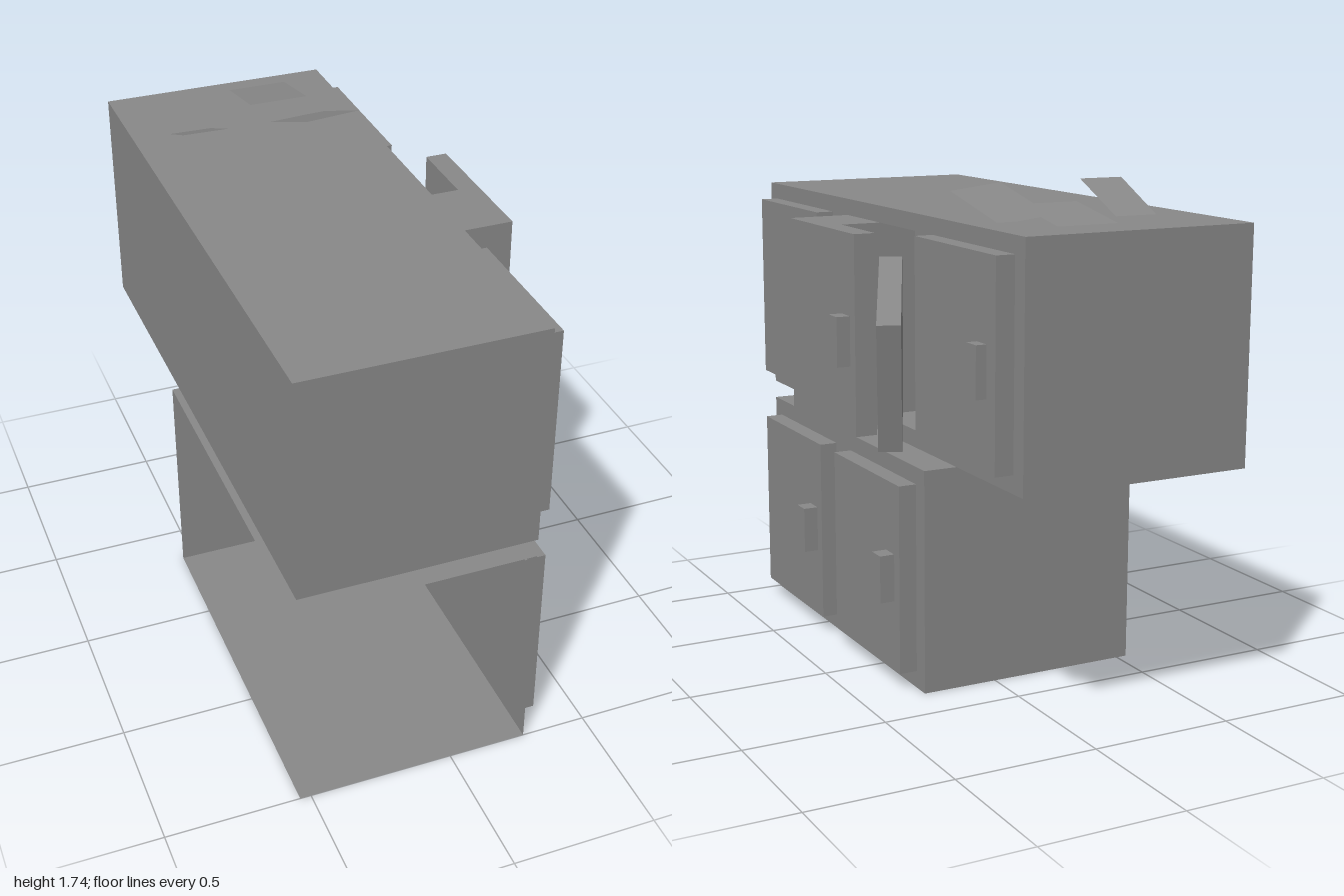
import * as THREE from 'three';

const solid = new THREE.MeshStandardMaterial({ color: 0x888888, flatShading: true });
const thin = new THREE.MeshStandardMaterial({ color: 0x888888, flatShading: true, side: THREE.DoubleSide });

export function createModel() {
  const root = new THREE.Group();

  const add = (name, geometry, material = solid, parent = root) => {
    const mesh = new THREE.Mesh(geometry, material);
    mesh.name = name;
    parent.add(mesh);
    return mesh;
  };

  // Box given by its extents on each axis
  const block = (name, [x0, x1], [y0, y1], [z0, z1]) => {
    const mesh = add(name, new THREE.BoxGeometry(x1 - x0, y1 - y0, z1 - z0));
    mesh.position.set((x0 + x1) / 2, (y0 + y1) / 2, (z0 + z1) / 2);
  };

  // Thin four-cornered sheet
  const sheet = (name, corners, parent) => {
    const g = new THREE.BufferGeometry();
    g.setAttribute('position', new THREE.Float32BufferAttribute(corners.flat(), 3));
    g.setIndex([0, 1, 2, 0, 2, 3]);
    g.computeVertexNormals();
    add(name, g, thin, parent);
  };

  // Sheets facing along each axis
  const sheetX = (n, x, [a, b], [c, d], p) => sheet(n, [[x, a, d], [x, a, c], [x, b, c], [x, b, d]], p);
  const sheetY = (n, y, [a, b], [c, d], p) => sheet(n, [[a, y, d], [b, y, d], [b, y, c], [a, y, c]], p);
  const sheetZ = (n, z, [a, b], [c, d], p) => sheet(n, [[a, c, z], [b, c, z], [b, d, z], [a, d, z]], p);

  const X = [-0.538, 0.273];
  const doorY = [0.911, 1.578], gapZ = [-0.27, 0];

  // Upper cabinet: closed shell with an opening in its door side
  const upper = new THREE.Group();
  upper.name = 'upperCabinet';
  root.add(upper);
  const UY = [0.852, 1.635], UZ = [-1, 1];
  sheetY('upperTop', UY[1], X, UZ, upper);
  sheetY('upperBottom', UY[0], X, UZ, upper);
  sheetX('upperBack', X[0], UY, UZ, upper);
  for (const z of UZ) sheetZ('upperEnd', z, X, UY, upper);
  sheetX('faceAbove', X[1], [doorY[1], UY[1]], UZ, upper);
  sheetX('faceBelow', X[1], [UY[0], doorY[0]], UZ, upper);
  sheetX('faceFar', X[1], doorY, [UZ[0], gapZ[0]], upper);
  sheetX('faceNear', X[1], doorY, [gapZ[1], UZ[1]], upper);

  // Compartment behind the opening
  const PX = [-0.45, X[1]];
  for (const y of doorY) sheetY('compartmentShelf', y, PX, gapZ, upper);
  for (const z of gapZ) sheetZ('compartmentSide', z, PX, doorY, upper);
  sheetX('compartmentBack', PX[0], doorY, gapZ, upper);

  // Lower cabinet: open at the back and at one end
  const lower = new THREE.Group();
  lower.name = 'lowerCabinet';
  root.add(lower);
  const LY = [0, 0.785], LZ = [-0.333, 1];
  sheetY('lowerTop', LY[1], X, LZ, lower);
  sheetY('lowerFloor', LY[0], X, LZ, lower);
  sheetX('lowerFace', X[1], LY, LZ, lower);
  sheetZ('lowerEnd', LZ[0], X, LY, lower);

  // Closed doors with handles: door y and z, handle y and z, handle reach
  const lowDoorY = [0.06, 0.725], handleY = [1.14, 1.307], lowHandleY = [0.31, 0.477];
  const doors = [
    [doorY, [0.4, 0.94], handleY, [0.44, 0.505], 0.39],
    [doorY, [-0.94, -0.4], handleY, [-0.885, -0.825], 0.373],
    [lowDoorY, [0.4, 0.94], lowHandleY, [0.44, 0.505], 0.39],
    [lowDoorY, [-0.27, 0.27], lowHandleY, [-0.23, -0.165], 0.39],
  ];
  for (const [dy, dz, hy, hz, reach] of doors) {
    block('door', [0.264, 0.337], dy, dz);
    block('doorHandle', [0.33, reach], hy, hz);
  }

  // Pulled-out middle front, with a recessed housing behind one half
  block('pulledFront', [0.415, 0.49], doorY, [-0.27, 0.27]);
  block('pulledHandle', [0.485, 0.537], handleY, [-0.23, -0.165]);
  const rim = new THREE.Shape([
    [X[1], doorY[0]], [0.415, doorY[0]], [0.415, doorY[1]], [X[1], doorY[1]],
    [X[1], 1.523], [0.36, 1.523], [0.36, 0.965], [X[1], 0.965],
  ].map(([x, y]) => new THREE.Vector2(x, y)));
  add('pulledHousing', new THREE.ExtrudeGeometry(rim, { depth: 0.27, bevelEnabled: false }));
  sheetZ('housingWall', 0, [X[1], 0.36], [0.965, 1.523], root);

  // Loose board leaning out of the opening
  const tilt = 0.28, W = 0.54, H = 0.455, T = 0.078;
  const out = new THREE.Vector3(0.44, 0, -0.9).normalize();
  const up = new THREE.Vector3(0, 1, 0);
  const u = out.clone().multiplyScalar(Math.cos(tilt)).addScaledVector(up, -Math.sin(tilt));
  const v = out.clone().multiplyScalar(Math.sin(tilt)).addScaledVector(up, Math.cos(tilt));
  const n = u.clone().cross(v);
  const board = add('looseBoard', new THREE.BoxGeometry(W, H, T));
  board.quaternion.setFromRotationMatrix(new THREE.Matrix4().makeBasis(u, v, n));
  board.position.set(0.511, 1.315, -0.48)
    .addScaledVector(u, -W / 2).addScaledVector(v, -H / 2).addScaledVector(n, -T / 2);

  // Paper sheets lying on top
  sheet('paper', [[-0.1, 1.692, -0.665], [0.112, 1.692, -0.665], [0.112, 1.647, -0.91], [-0.1, 1.647, -0.91]]);
  sheet('paper', [[0.015, 1.733, -0.377], [0.226, 1.718, -0.432], [0.167, 1.63, -0.652], [-0.047, 1.645, -0.602]]);
  sheet('paper', [[-0.42, 1.737, -0.42], [-0.263, 1.737, -0.415], [-0.256, 1.635, -0.65], [-0.406, 1.635, -0.655]]);

  return root;
}
